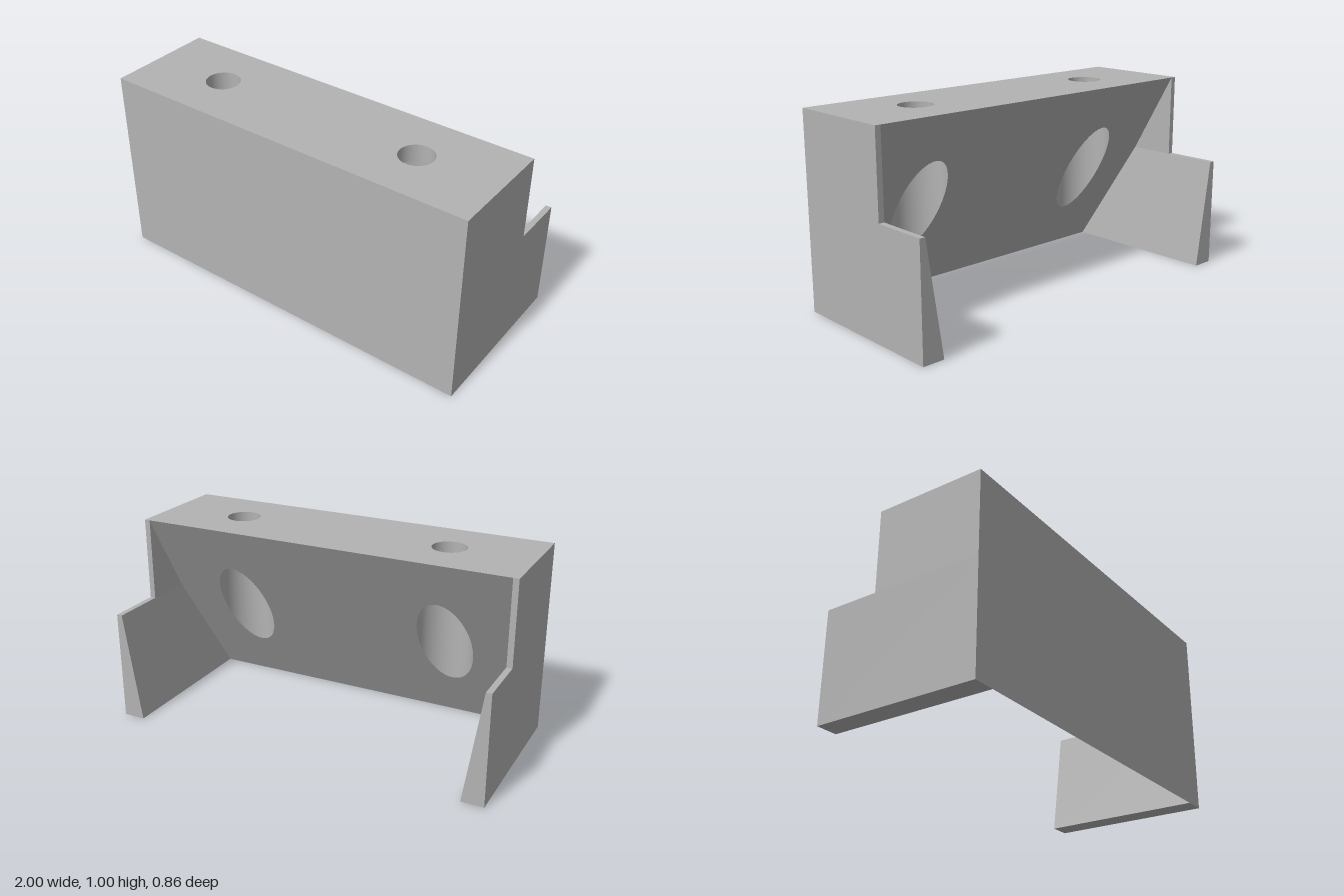
import * as THREE from 'three';

const FRONT = 0.429, BACK = -0.429, TOP_BACK = -0.143; // z limits
const STEP = 0.571;                                    // height of the rear step
const THIN = 0.971, THICK = 0.886;                     // inner x of the side panels, top and bottom
const HOLE_X = 0.571, HOLE_Z = 0.141, HOLE_R = 0.087, BORE_R = 0.143, BORE_TOP = 0.914;
const KINK_Z = FRONT - STEP * (FRONT - TOP_BACK);

// height of the sloping underside at a given z
const slopeY = (z) => (FRONT - z) / (FRONT - TOP_BACK);

function makeShape(points, holeY, holeR) {
  const shape = new THREE.Shape(points.map(([x, y]) => new THREE.Vector2(x, y)));
  if (holeR) {
    for (const s of [-1, 1]) {
      shape.holes.push(new THREE.Path().absarc(s * HOLE_X, holeY, holeR, 0, Math.PI * 2, true));
    }
  }
  return shape;
}

// open tube from the slope or a fixed height up to a given top
function makeTube(radius, top, bottomAt) {
  const geo = new THREE.CylinderGeometry(radius, radius, 1, 64, 1, true);
  const p = geo.attributes.position;
  for (let i = 0; i < p.count; i++) {
    p.setY(i, p.getY(i) > 0 ? top : bottomAt(p.getZ(i) + HOLE_Z));
  }
  return geo;
}

export function createModel() {
  const model = new THREE.Group();
  model.name = 'mountingBracket';
  const grey = new THREE.MeshStandardMaterial({ color: 0xb3b3b3, side: THREE.DoubleSide });
  grey.name = 'grey';

  const add = (name, geo, x = 0, y = 0, z = 0) => {
    const mesh = new THREE.Mesh(geo, grey);
    mesh.name = name;
    mesh.position.set(x, y, z);
    model.add(mesh);
  };

  // front wall, fitted between the tapered side panels
  add('frontFace', new THREE.ShapeGeometry(makeShape(
    [[-THICK, 0], [THICK, 0], [THIN, STEP], [THIN, 1], [-THIN, 1], [-THIN, STEP]])), 0, 0, FRONT);

  // top with two screw holes
  const top = new THREE.ShapeGeometry(makeShape(
    [[-THIN, -FRONT], [THIN, -FRONT], [THIN, -TOP_BACK], [-THIN, -TOP_BACK]], -HOLE_Z, HOLE_R), 32);
  add('topFace', top.rotateX(-Math.PI / 2), 0, 1, 0);

  // sloping underside, pierced by the wide bores
  const slope = new THREE.ShapeGeometry(makeShape(
    [[-THIN, TOP_BACK], [THIN, TOP_BACK], [THIN, KINK_Z], [THICK, FRONT], [-THICK, FRONT], [-THIN, KINK_Z]],
    HOLE_Z, BORE_R), 32).rotateX(Math.PI / 2);
  const p = slope.attributes.position;
  for (let i = 0; i < p.count; i++) p.setY(i, slopeY(p.getZ(i)));
  slope.computeVertexNormals();
  add('slopedUnderside', slope);

  // side panels: tapered lower part and thin upper part
  for (const s of [-1, 1]) {
    const side = s > 0 ? 'left' : 'right';
    const lower = makeShape([[s, 0], [s, STEP], [s * THIN, STEP], [s * THICK, 0]]);
    add(side + 'LowerPanel',
      new THREE.ExtrudeGeometry(lower, { depth: FRONT - BACK, bevelEnabled: false }), 0, 0, BACK);
    add(side + 'UpperPanel', new THREE.BoxGeometry(1 - THIN, 1 - STEP, FRONT - TOP_BACK),
      s * (1 + THIN) / 2, (1 + STEP) / 2, (FRONT + TOP_BACK) / 2);

    // screw hole widening into a bore below
    add(side + 'ScrewHole', makeTube(HOLE_R, 1, () => BORE_TOP), s * HOLE_X, 0, HOLE_Z);
    add(side + 'Bore', makeTube(BORE_R, BORE_TOP, slopeY), s * HOLE_X, 0, HOLE_Z);
    add(side + 'BoreShoulder',
      new THREE.RingGeometry(HOLE_R, BORE_R, 64).rotateX(Math.PI / 2), s * HOLE_X, BORE_TOP, HOLE_Z);
  }
  return model;
}
